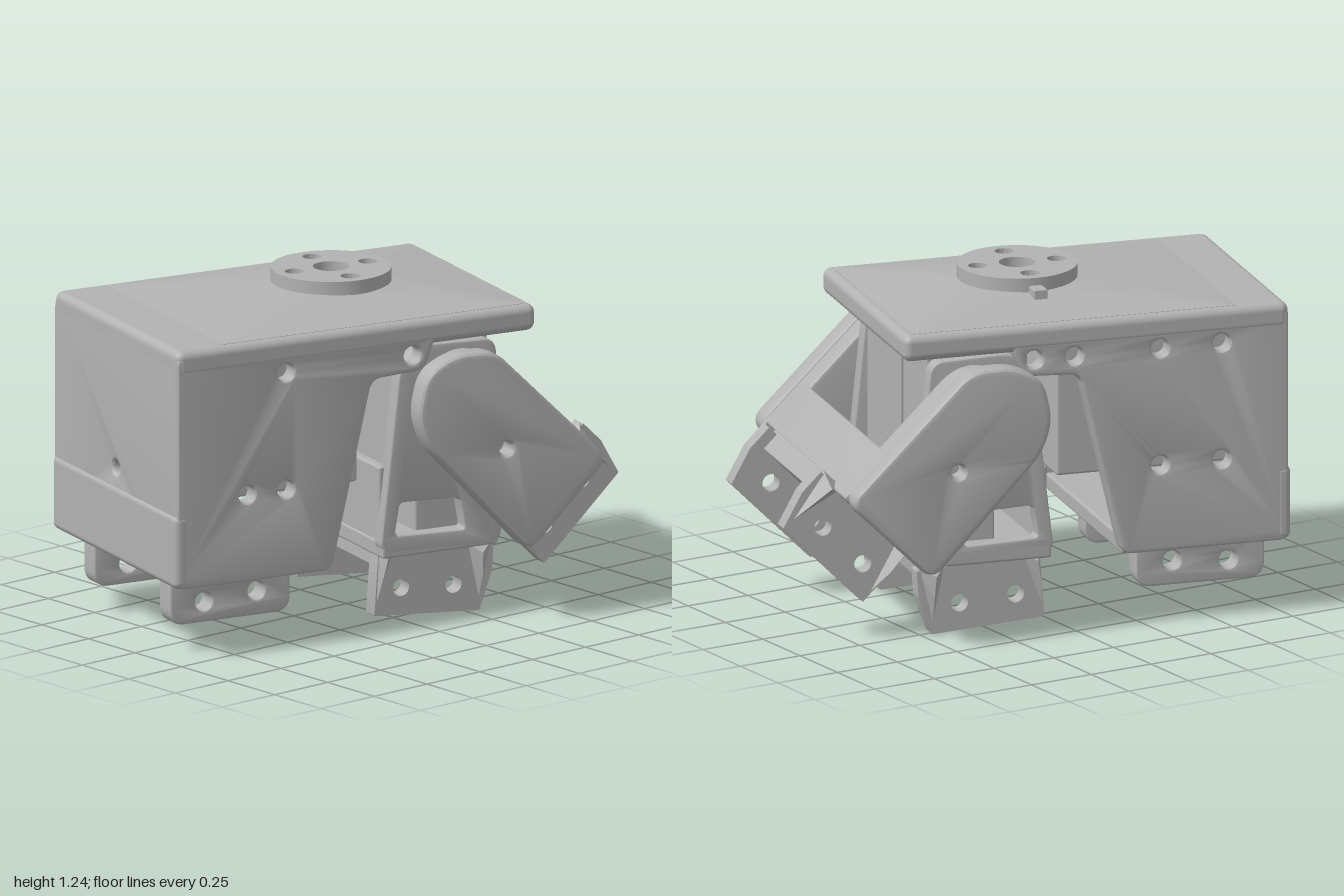
import * as THREE from 'three';
import { toCreasedNormals } from 'three/addons/utils/BufferGeometryUtils.js';
import { RoundedBoxGeometry } from 'three/addons/geometries/RoundedBoxGeometry.js';
import { ConvexGeometry } from 'three/addons/geometries/ConvexGeometry.js';

const grey = new THREE.MeshStandardMaterial({ color: 0xb2b2b2 });
grey.name = 'plain grey';

function add(parent, name, geometry) {
  const mesh = new THREE.Mesh(geometry, grey);
  mesh.name = name;
  parent.add(mesh);
  return mesh;
}

// Box given by its lower and upper corners, with rounded edges
function box(parent, name, [x0, y0, z0], [x1, y1, z1], r = 0.01) {
  const m = add(parent, name, new RoundedBoxGeometry(x1 - x0, y1 - y0, z1 - z0, 3, r));
  m.position.set((x0 + x1) / 2, (y0 + y1) / 2, (z0 + z1) / 2);
  return m;
}

// Polygon with corners rounded by radius r
function roundedShape(pts, r) {
  const shape = new THREE.Shape();
  const v = pts.map(p => new THREE.Vector2(...p));
  v.forEach((p, i) => {
    const toward = q => {
      const d = q.clone().sub(p);
      return p.clone().add(d.setLength(Math.min(r, d.length() * 0.45)));
    };
    const a = toward(v[(i + v.length - 1) % v.length]);
    const b = toward(v[(i + 1) % v.length]);
    if (i === 0) shape.moveTo(a.x, a.y); else shape.lineTo(a.x, a.y);
    shape.quadraticCurveTo(p.x, p.y, b.x, b.y);
  });
  shape.closePath();
  return shape;
}

const circle = (x, y, r) => new THREE.Path().absarc(x, y, r, 0, Math.PI * 2, true);

// Bevelled plate between z0 and z1; outline runs anticlockwise
function plate(parent, name, pts, z0, z1, { r = 0.02, bevel = 0.008, holes = [] } = {}) {
  const shape = roundedShape(pts, r);
  shape.holes.push(...holes);
  const g = new THREE.ExtrudeGeometry(shape, {
    depth: z1 - z0 - 2 * bevel, bevelEnabled: bevel > 0, bevelThickness: bevel,
    bevelSize: bevel, bevelOffset: -bevel, bevelSegments: 3, curveSegments: 12,
  });
  g.translate(0, 0, z0 + bevel);
  return add(parent, name, toCreasedNormals(g, 0.27));
}

// Channel bracket: outer edge of the flanges on y = 0, base above
function bracket(name) {
  const group = new THREE.Group();
  group.name = name;
  box(group, 'bracketBase', [-0.2, 0.17, -0.31], [0.21, 0.25, 0.31], 0.006);
  const outline = [[-0.21, 0], [0.21, 0], [0.25, 0.14], [0.25, 0.24], [-0.21, 0.24]];
  for (const s of [-1, 1]) {
    const z = [0.265 * s, 0.33 * s].sort((a, b) => a - b);
    plate(group, 'bracketFlange', outline, z[0], z[1],
      { r: 0.004, bevel: 0, holes: [circle(-0.11, 0.1, 0.032), circle(0.1, 0.1, 0.032)] });
    // Faceted gussets at the flange ends
    for (const e of [-1, 1]) {
      const pts = [[0.14, 0.25, 0.32], [0.245, 0.25, 0.32], [0.205, 0.02, 0.32],
        [0.19, 0.22, 0.37], [0.2, 0.14, 0.36]];
      add(group, 'flangeGusset', new ConvexGeometry(
        pts.map(([x, y, zz]) => new THREE.Vector3(e > 0 ? x : -Math.min(x, 0.21), y, zz * s))));
    }
  }
  return group;
}

function buildHousing(body) {
  // Side walls with screw holes, four on one side and six on the other
  const wall = [[-0.91, 0.28], [-0.29, 0.28], [-0.13, 0.96], [0.08, 0.97], [0.13, 1.1],
    [-0.1, 1.14], [-0.91, 1.14]];
  const leftScrews = [[-0.474, 1.03], [0.03, 1.03], [-0.63, 0.6], [-0.474, 0.6]];
  const rightScrews = [[-0.66, 1.03], [-0.43, 1.03], [-0.11, 1.03], [0.04, 1.03],
    [-0.66, 0.6], [-0.43, 0.6]];
  for (const s of [-1, 1]) {
    const z = [0.405 * s, 0.477 * s].sort((a, b) => a - b);
    const holes = (s > 0 ? leftScrews : rightScrews).map(([x, y]) => circle(x, y, 0.032));
    plate(body, 'housingSide', wall, z[0], z[1], { r: 0.04, bevel: 0.012, holes });
    // Rounded mounting foot below each side
    plate(body, 'housingFoot', [[-0.865, 0.11], [-0.385, 0.11], [-0.385, 0.31], [-0.865, 0.31]],
      s > 0 ? 0.25 : -0.335, s > 0 ? 0.335 : -0.25,
      { r: 0.06, holes: [circle(-0.73, 0.185, 0.034), circle(-0.52, 0.2, 0.034)] });
  }
  // Back wall with a central screw hole
  const back = plate(body, 'housingBack', [[-0.475, 0.28], [0.475, 0.28], [0.475, 1.15], [-0.475, 1.15]],
    0, 0.08, { r: 0.04, bevel: 0.02, holes: [circle(0, 0.62, 0.025)] });
  back.rotation.y = -Math.PI / 2;
  back.position.x = -0.832;
  box(body, 'backBand', [-0.92, 0.283, -0.479], [-0.86, 0.555, 0.479], 0.025);
  box(body, 'housingFloor', [-0.9, 0.28, -0.46], [-0.29, 0.34, 0.46]);
  box(body, 'innerMotor', [-0.76, 0.54, -0.3], [-0.1, 1.08, 0.3]);
  box(body, 'lid', [-0.912, 1.06, -0.479], [0.525, 1.157, 0.479], 0.03);

  // Low pyramid rising to the mounting disc
  const cx = -0.05;
  const rise = [];
  for (const x of [-0.72, 0.49]) for (const z of [-0.45, 0.45])
    for (const y of [1.12, 1.158]) rise.push(new THREE.Vector3(x, y, z));
  for (let i = 0; i < 24; i++) {
    const a = i * Math.PI / 12;
    rise.push(new THREE.Vector3(cx + 0.18 * Math.cos(a), 1.208, 0.18 * Math.sin(a)));
  }
  add(body, 'lidRise', new ConvexGeometry(rise));

  // Disc with a bore and four screw holes
  const disc = new THREE.Shape().absarc(0, 0, 0.215, 0, Math.PI * 2);
  disc.holes.push(circle(0, 0, 0.065));
  for (let i = 0; i < 4; i++)
    disc.holes.push(circle(0.147 * Math.cos(i * Math.PI / 2), 0.147 * Math.sin(i * Math.PI / 2), 0.034));
  const g = new THREE.ExtrudeGeometry(disc, { depth: 0.075, bevelEnabled: false, curveSegments: 20 });
  const m = add(body, 'mountingDisc', toCreasedNormals(g, 0.6));
  m.rotation.x = -Math.PI / 2;
  m.position.set(cx, 1.178, 0);
  box(body, 'discTab', [cx - 0.025, 1.15, -0.275], [cx + 0.025, 1.225, -0.2], 0.004);
}

function buildHip(body) {
  // Motor block between two windowed plates, closed by a web at the back
  box(body, 'motor', [0.02, 0.5, -0.34], [0.4, 1.08, 0.34]);
  box(body, 'motorRib', [0.36, 0.62, -0.08], [0.41, 1.07, 0.18], 0.004);
  box(body, 'motorBase', [0.13, 0.31, -0.3], [0.4, 0.52, 0.3]);
  box(body, 'hipWeb', [-0.045, 0.29, -0.36], [-0.005, 0.6, 0.36]);
  box(body, 'hipFloor', [-0.05, 0.27, -0.4], [0.41, 0.33, 0.4]);
  const frame = [[-0.06, 0.29], [0.42, 0.27], [0.45, 0.55], [0.4, 1.03], [0.1, 1.04], [0.02, 0.97]];
  for (const s of [-1, 1]) {
    const hole = roundedShape([[0, 0.35], [0.02, 0.47], [0.26, 0.46], [0.28, 0.34]], 0.02);
    plate(body, 'hipFrame', frame, s > 0 ? 0.34 : -0.4, s > 0 ? 0.4 : -0.34,
      { r: 0.05, holes: [hole] });
    const pivot = add(body, 'pivot', new THREE.CylinderGeometry(0.12, 0.12, 0.12, 24));
    pivot.rotation.x = Math.PI / 2;
    pivot.position.set(0.22, 0.85, 0.44 * s);
  }
  const foot = bracket('lowerBracket');
  foot.position.set(0.17, 0.025, -0.015);
  foot.rotation.z = -0.07;
  body.add(foot);
}

function buildYoke(body) {
  // Slanting arm covers, with a narrower layer inside
  const cover = [[0.45, 0.275], [0.765, 0.585], [0.31, 1.035], [0.15, 1.04], [0.035, 0.98],
    [0.0, 0.83], [0.04, 0.71]];
  const inner = [[0.46, 0.3], [0.75, 0.585], [0.33, 1.0], [0.23, 1.02], [0.13, 0.97],
    [0.1, 0.84], [0.12, 0.68]];
  for (const s of [-1, 1]) {
    plate(body, 'armCover', cover, s > 0 ? 0.49 : -0.58, s > 0 ? 0.58 : -0.49,
      { r: 0.06, bevel: 0.02, holes: [circle(0.355, 0.67, 0.024)] });
    plate(body, 'armInner', inner, s > 0 ? 0.4 : -0.5, s > 0 ? 0.5 : -0.4, { r: 0.06, bevel: 0.015 });
  }
  // Bar joining the arms
  plate(body, 'crossbar', [[0.53, 0.67], [0.61, 0.57], [0.41, 0.36], [0.47, 0.3], [0.755, 0.585], [0.595, 0.74]],
    -0.49, 0.49, { r: 0.015 });
  const grip = bracket('frontBracket');
  grip.position.set(0.785, 0.3, -0.01);
  grip.rotation.z = Math.PI / 4;
  body.add(grip);
}

export function createModel() {
  const model = new THREE.Group();
  model.name = 'jointModule';
  const body = new THREE.Group();
  body.name = 'joint';
  buildHousing(body);
  buildHip(body);
  buildYoke(body);
  // The whole assembly is turned a little about the vertical
  body.rotation.y = -THREE.MathUtils.degToRad(14);
  body.position.set(0.006, 0, -0.023);
  model.add(body);
  return model;
}
